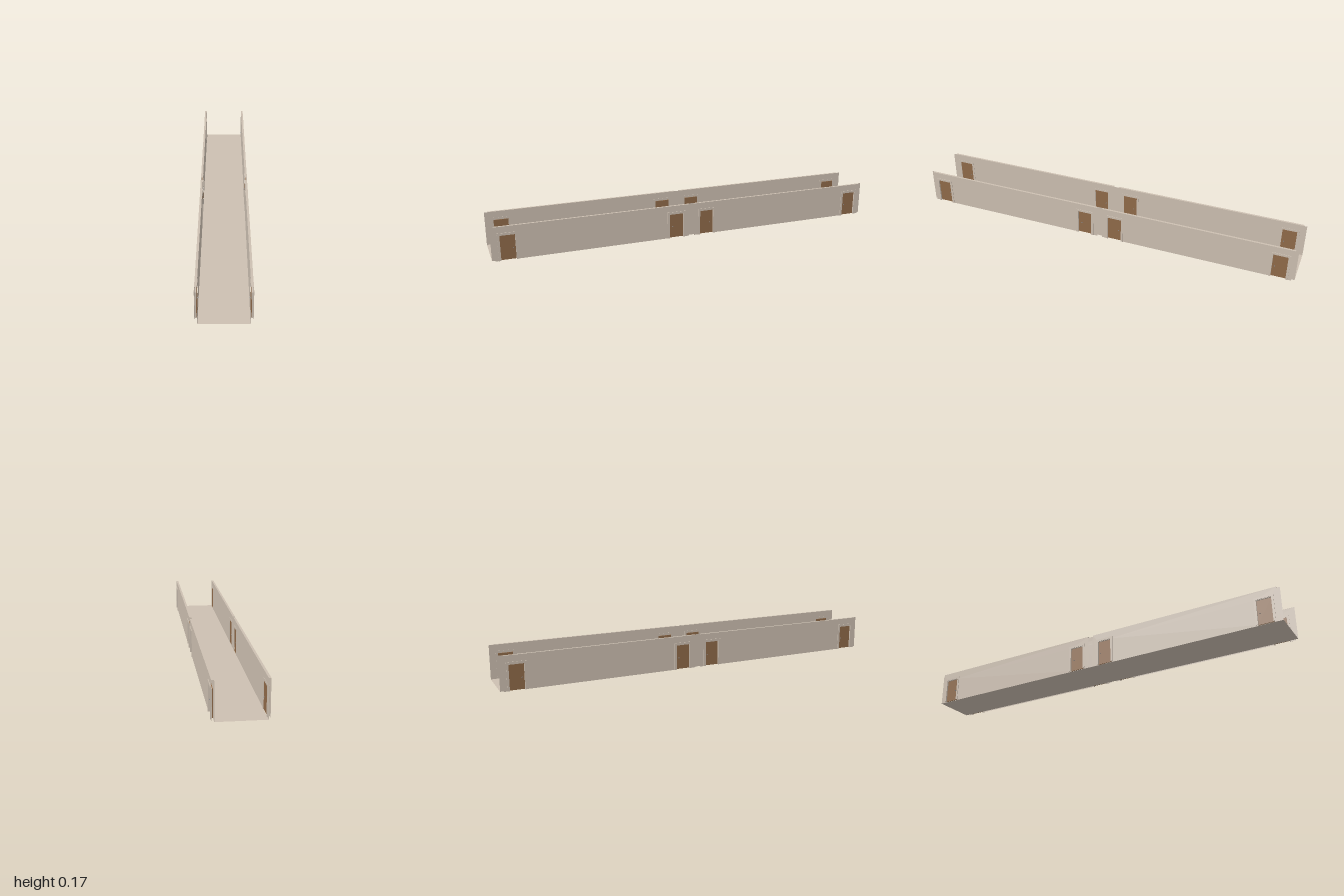
import * as THREE from 'three';

const wallMat = new THREE.MeshStandardMaterial({ color: 0xccbfb1, side: THREE.DoubleSide });
wallMat.name = 'warm plaster';
const doorMat = new THREE.MeshStandardMaterial({ color: 0x8f6a49 });
doorMat.name = 'door wood';
const knobMat = new THREE.MeshStandardMaterial({ color: 0x8a8a8c });
knobMat.name = 'knob metal';

const WALL_H = 0.17, INNER = 0.109, OUTER = 0.1195;
const DOOR_H = 0.127, HALF_DOOR = 0.036, HALF_OPEN = 0.038, HALF_TRIM = 0.047, TRIM_H = 0.138;
const DOORS = [-0.922, -0.082, 0.082, 0.922];

// Box given by its min and max corners
function box(name, mat, x0, x1, y0, y1, z0, z1) {
  const mesh = new THREE.Mesh(new THREE.BoxGeometry(x1 - x0, y1 - y0, z1 - z0), mat);
  mesh.position.set((x0 + x1) / 2, (y0 + y1) / 2, (z0 + z1) / 2);
  mesh.name = name;
  return mesh;
}

// Flat wall face at a given x, notched for each doorway between z0 and z1
function wallFace(name, x, z0, z1) {
  const s = new THREE.Shape();
  s.moveTo(z0, 0);
  for (const d of DOORS.filter((d) => d > z0 && d < z1)) {
    s.lineTo(d - HALF_OPEN, 0);
    s.lineTo(d - HALF_OPEN, DOOR_H);
    s.lineTo(d + HALF_OPEN, DOOR_H);
    s.lineTo(d + HALF_OPEN, 0);
  }
  s.lineTo(z1, 0);
  s.lineTo(z1, WALL_H);
  s.lineTo(z0, WALL_H);
  const g = new THREE.ShapeGeometry(s);
  g.rotateY(-Math.PI / 2);
  const mesh = new THREE.Mesh(g, wallMat);
  mesh.position.x = x;
  mesh.name = name;
  return mesh;
}

// Horizontal sheet facing up
function sheet(name, x0, x1, y, z0, z1) {
  const g = new THREE.PlaneGeometry(x1 - x0, z1 - z0);
  g.rotateX(-Math.PI / 2);
  const mesh = new THREE.Mesh(g, wallMat);
  mesh.position.set((x0 + x1) / 2, y, (z0 + z1) / 2);
  mesh.name = name;
  return mesh;
}

// Door with jambs, casings on both faces and a pair of knobs
function doorway(side, z, knobZ) {
  const g = new THREE.Group();
  g.name = 'doorway';
  const add = (name, mat, xa, xb, y0, y1, z0, z1) =>
    g.add(box(name, mat, Math.min(xa * side, xb * side), Math.max(xa * side, xb * side), y0, y1, z0, z1));

  add('door', doorMat, 0.1095, 0.114, 0.001, DOOR_H - 0.002, -HALF_OPEN, HALF_OPEN);
  add('headJamb', wallMat, 0.114, OUTER, DOOR_H - 0.002, DOOR_H, -HALF_OPEN, HALF_OPEN);
  for (const e of [-1, 1]) {
    const span = (a, b) => (e > 0 ? [a, b] : [-b, -a]);
    add('sideJamb', wallMat, 0.114, OUTER, 0, DOOR_H, ...span(HALF_DOOR, HALF_OPEN));
    add('innerCasing', wallMat, 0.1077, INNER, 0, DOOR_H, ...span(HALF_DOOR, HALF_TRIM));
    add('outerCasing', wallMat, OUTER, 0.1222, 0, DOOR_H, ...span(HALF_DOOR, HALF_TRIM));
  }
  add('innerHeadCasing', wallMat, 0.1077, INNER, DOOR_H, TRIM_H, -HALF_TRIM, HALF_TRIM);
  add('outerHeadCasing', wallMat, OUTER, 0.1222, DOOR_H, TRIM_H, -HALF_TRIM, HALF_TRIM);

  for (const x of [0.1083, 0.1153]) {
    const knob = new THREE.Mesh(new THREE.SphereGeometry(0.0026, 12, 8), knobMat);
    knob.position.set(x * side, 0.058, knobZ);
    knob.name = 'knob';
    g.add(knob);
  }
  g.position.z = z;
  return g;
}

export function createModel() {
  const model = new THREE.Group();
  model.name = 'corridor';
  model.add(sheet('floor', -INNER, INNER, 0, -1, 1));

  for (const side of [-1, 1]) {
    const wall = new THREE.Group();
    wall.name = side > 0 ? 'leftWall' : 'rightWall';
    wall.add(wallFace('innerWallFace', side * INNER, -1, 1));
    // Outer skin and top cap in two lengths with a gap between
    for (const [z0, z1] of [[-0.985, -0.013], [0.013, 0.985]]) {
      wall.add(wallFace('outerWallFace', side * OUTER, z0, z1));
      const xs = [side * INNER, side * OUTER].sort((a, b) => a - b);
      wall.add(sheet('wallTop', xs[0], xs[1], WALL_H, z0, z1));
    }
    const knobs = [0.024, -0.02, side > 0 ? 0.018 : -0.025, -0.024];
    DOORS.forEach((z, i) => wall.add(doorway(side, z, knobs[i])));
    model.add(wall);
  }
  return model;
}
